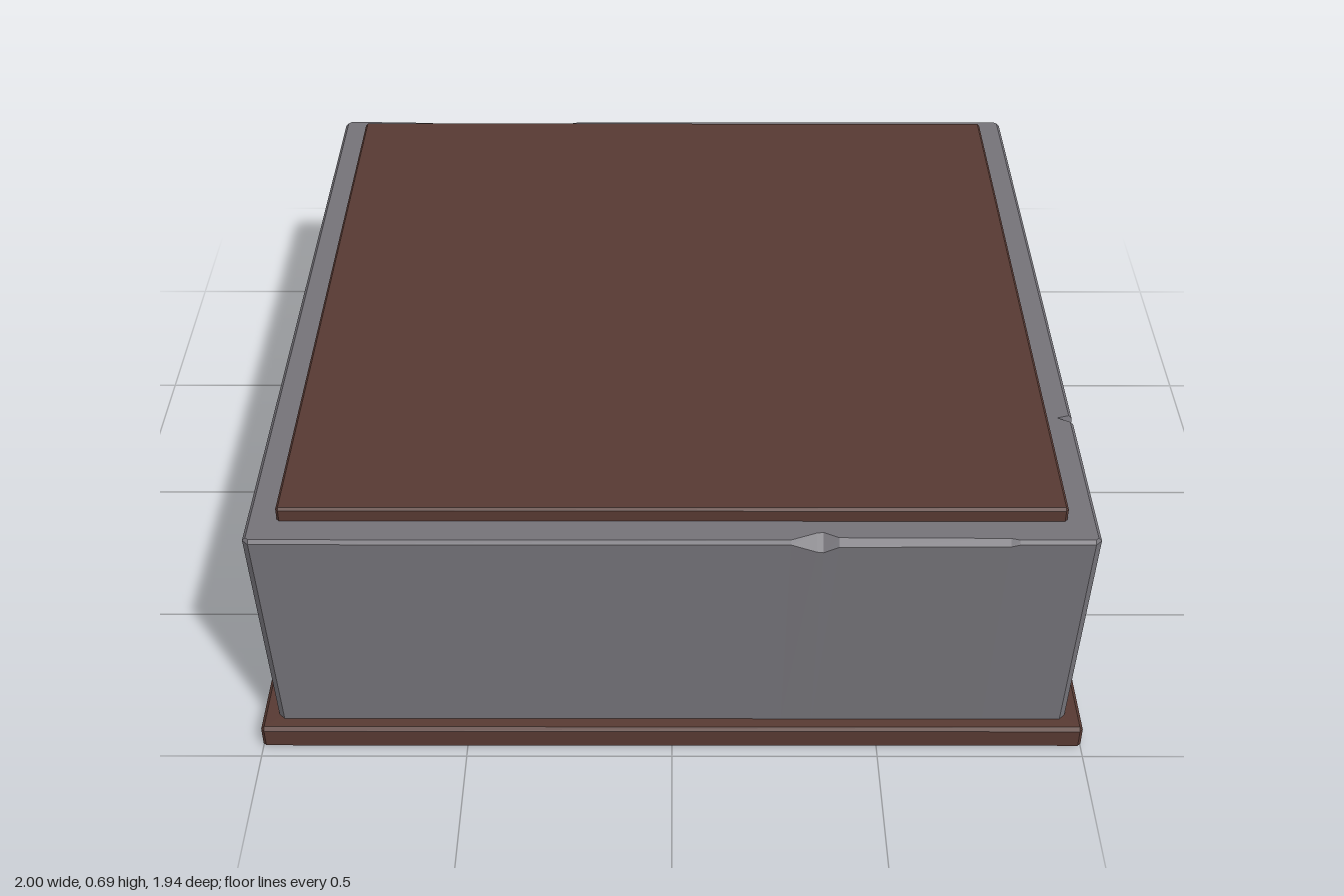
import * as THREE from 'three';

const clamp = THREE.MathUtils.clamp;

// Joins matching rings of [x, y, z] points, listed from bottom to top, and caps both ends.
function loft(rings) {
  const pos = [];
  const tri = (a, b, c) => pos.push(...a, ...b, ...c);
  const n = rings[0].length;
  const top = rings[rings.length - 1];
  for (let i = 0; i < n; i++) {
    const j = (i + 1) % n;
    for (let r = 0; r < rings.length - 1; r++) {
      const lo = rings[r], hi = rings[r + 1];
      tri(lo[i], lo[j], hi[j]);
      tri(lo[i], hi[j], hi[i]);
    }
    tri([0, rings[0][0][1], 0], rings[0][j], rings[0][i]);
    tri([0, top[0][1], 0], top[i], top[j]);
  }
  const geometry = new THREE.BufferGeometry();
  geometry.setAttribute('position', new THREE.Float32BufferAttribute(pos, 3));
  geometry.computeVertexNormals();
  return geometry;
}

// Rectangle outline with cut corners, counter-clockwise from above: [x, z, chip depth].
function outline(hx, hz, b, frontChips = [], rightChips = [], backChips = []) {
  return [
    [-hx + b, hz, 0], ...frontChips.map(([x, c]) => [x, hz, c]), [hx - b, hz, 0],
    [hx, hz - b, 0], ...rightChips.map(([z, c]) => [hx, z, c]), [hx, -hz + b, 0],
    [hx - b, -hz, 0], ...backChips.map(([x, c]) => [x, -hz, c]), [-hx + b, -hz, 0],
    [-hx, -hz + b, 0], [-hx, hz - b, 0],
  ];
}

// Flat board with small bevels along all edges.
function board(hx, hz, y0, y1, bevel) {
  const pts = outline(hx, hz, bevel);
  const ring = (y, inset) => pts.map(([x, z]) => [
    clamp(x, -hx + inset, hx - inset), y, clamp(z, -hz + inset, hz - inset)]);
  return loft([ring(y0, bevel), ring(y0 + bevel, 0), ring(y1 - bevel, 0), ring(y1, bevel)]);
}

// Stone block that widens upward, with a worn and chipped top edge.
function stoneBlock() {
  const hx = 0.977, hz = 0.953, y0 = 0.06, y1 = 0.652, edge = 0.008;
  const pts = outline(hx, hz, 0.015,
    [[0.27, 0], [0.33, 0.024], [0.345, 0.026], [0.38, 0.008], [0.77, 0.006], [0.79, 0]],
    [[0.51, 0], [0.497, 0.038], [0.485, 0]],
    [[-0.28, 0], [-0.3, 0.006], [-0.68, 0.008], [-0.82, 0]]);
  const bottom = pts.map(([x, z]) => [x * 0.983, y0, z * 0.983]);
  const shoulder = pts.map(([x, z, c]) => [x, y1 - edge - c * 0.9, z]);
  const top = pts.map(([x, z, c]) => [
    clamp(x, -hx + edge + c, hx - edge - c), y1,
    clamp(z, -hz + edge + c, hz - edge - c)]);
  // A chip only cuts into the edge it sits on.
  pts.forEach(([x, z, c], i) => {
    if (!c) return;
    if (Math.abs(z) === hz) top[i][0] = x;
    else top[i][2] = z;
  });
  return loft([bottom, shoulder, top]);
}

export function createModel() {
  const brown = new THREE.MeshStandardMaterial({ color: 0x583a33 });
  brown.name = 'brown';
  const stone = new THREE.MeshStandardMaterial({ color: 0x757379 });
  stone.name = 'stone grey';

  const group = new THREE.Group();
  group.name = 'plinth';
  const add = (name, geometry, material) => {
    const mesh = new THREE.Mesh(geometry, material);
    mesh.name = name;
    group.add(mesh);
  };

  add('basePlate', board(1, 0.972, 0, 0.065, 0.008), brown);
  add('stoneBlock', stoneBlock(), stone);
  add('topPlate', board(0.907, 0.88, 0.645, 0.688, 0.006), brown);
  return group;
}
